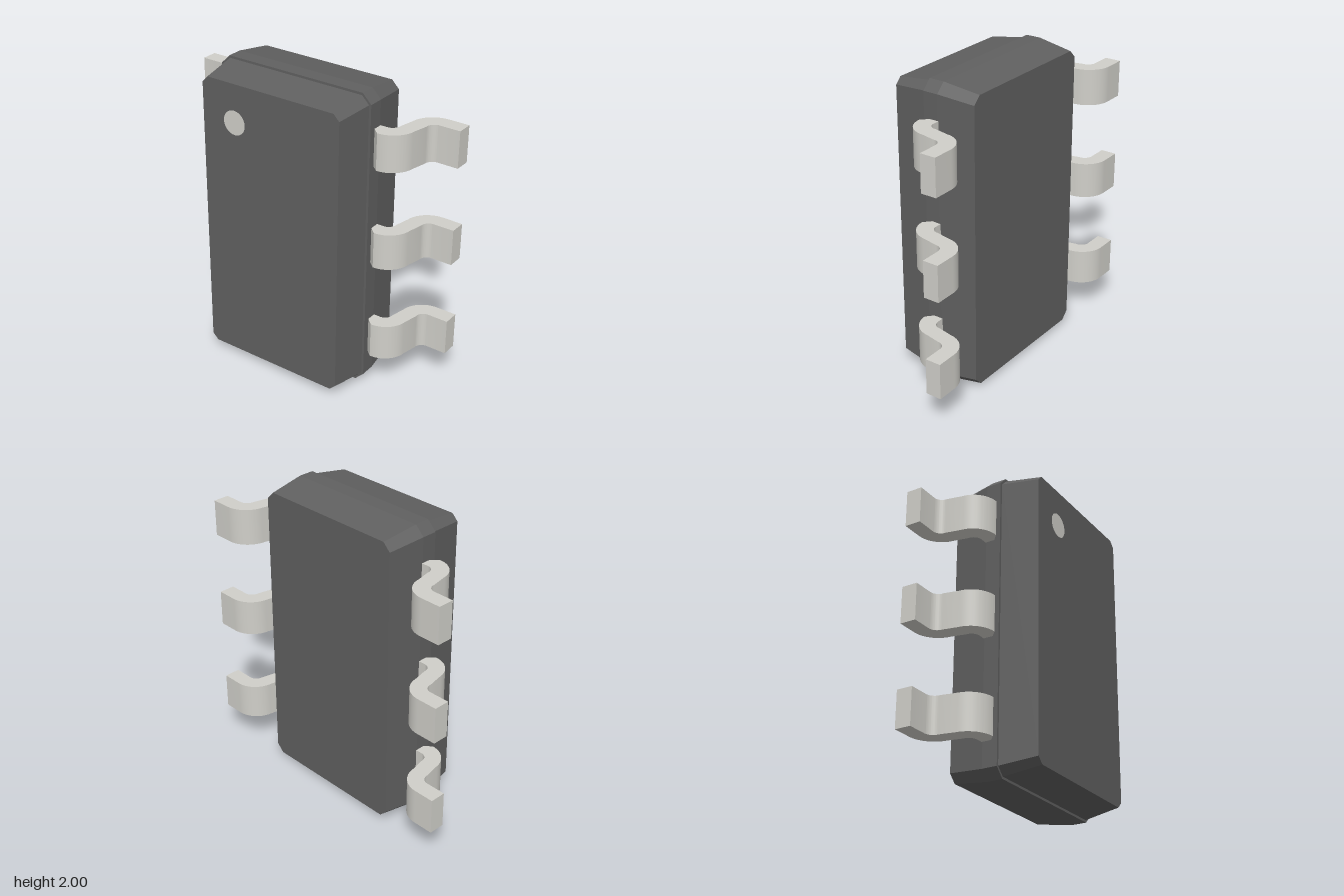
import * as THREE from 'three';
import { toCreasedNormals } from 'three/addons/utils/BufferGeometryUtils.js';

const bodyMaterial = new THREE.MeshStandardMaterial({ color: 0x606060, flatShading: true });
const leadMaterial = new THREE.MeshStandardMaterial({ color: 0xd0cfc9 });

// Chamfered rectangle, counter-clockwise seen from +z
function octagon([hx, hy, c, z]) {
  return [
    [hx, -hy + c], [hx, hy - c], [hx - c, hy], [-hx + c, hy],
    [-hx, hy - c], [-hx, -hy + c], [-hx + c, -hy], [hx - c, -hy],
  ].map(([x, y]) => [x, y, z]);
}

// Skin between chamfered sections ordered back to front, capped at both ends
function loft(sections) {
  const rings = sections.map(octagon);
  const n = 8, pos = [], index = [];
  rings.forEach((ring) => ring.forEach((p) => pos.push(...p)));
  for (let r = 0; r < rings.length - 1; r++) {
    for (let i = 0; i < n; i++) {
      const a = r * n + i, b = r * n + (i + 1) % n;
      index.push(a, b, b + n, a, b + n, a + n);
    }
  }
  const last = (rings.length - 1) * n;
  for (let i = 1; i < n - 1; i++) {
    index.push(0, i + 1, i, last, last + i, last + i + 1);
  }
  const geometry = new THREE.BufferGeometry();
  geometry.setAttribute('position', new THREE.Float32BufferAttribute(pos, 3));
  geometry.setIndex(index);
  const flat = geometry.toNonIndexed();
  flat.computeVertexNormals();
  return flat;
}

// Gull-wing lead: S-bend outline in x/z, extruded along y
function leadGeometry(width) {
  const rad = THREE.MathUtils.degToRad;
  const s = new THREE.Shape();
  s.moveTo(0.48, 0.08);
  s.absarc(0.595, -0.08, 0.16, rad(90), rad(4), true);
  s.absarc(0.83, -0.17, 0.055, rad(176), rad(270), false);
  s.lineTo(0.965, -0.225);
  s.lineTo(0.965, -0.33);
  s.absarc(0.83, -0.17, 0.16, rad(270), rad(184), true);
  s.absarc(0.595, -0.08, 0.055, rad(-4), rad(90), false);
  s.lineTo(0.48, -0.025);
  s.closePath();
  const g = new THREE.ExtrudeGeometry(s, { depth: width, bevelEnabled: false, curveSegments: 14 });
  g.translate(0, 0, -width / 2);
  g.rotateX(Math.PI / 2);
  return toCreasedNormals(g, 0.5);
}

export function createModel() {
  const model = new THREE.Group();
  model.name = 'chipPackage';

  // Moulded body with a small step at the parting line
  const body = new THREE.Mesh(loft([
    [0.52, 0.965, 0.05, -0.26],
    [0.55, 1.0, 0.06, -0.02],
    [0.55, 1.0, 0.06, 0.08],
    [0.535, 0.985, 0.05, 0.08],
    [0.5, 0.95, 0.04, 0.325],
  ]), bodyMaterial);
  body.name = 'body';
  body.position.y = 1;
  model.add(body);

  // Round pin-one mark, nearly flush with the front face
  const mark = new THREE.Mesh(new THREE.CircleGeometry(0.08, 32), leadMaterial);
  mark.name = 'pinOneMark';
  mark.position.set(-0.26, 1.7, 0.327);
  model.add(mark);

  // Three leads per side; a half turn about z mirrors them
  const geometry = leadGeometry(0.24);
  for (const side of ['left', 'right']) {
    const row = new THREE.Group();
    row.name = side + 'Leads';
    row.position.y = 1;
    if (side === 'right') row.rotation.z = Math.PI;
    for (let i = -1; i <= 1; i++) {
      const lead = new THREE.Mesh(geometry, leadMaterial);
      lead.name = side + 'Lead' + (i + 2);
      lead.position.y = i * 0.657;
      row.add(lead);
    }
    model.add(row);
  }
  return model;
}
